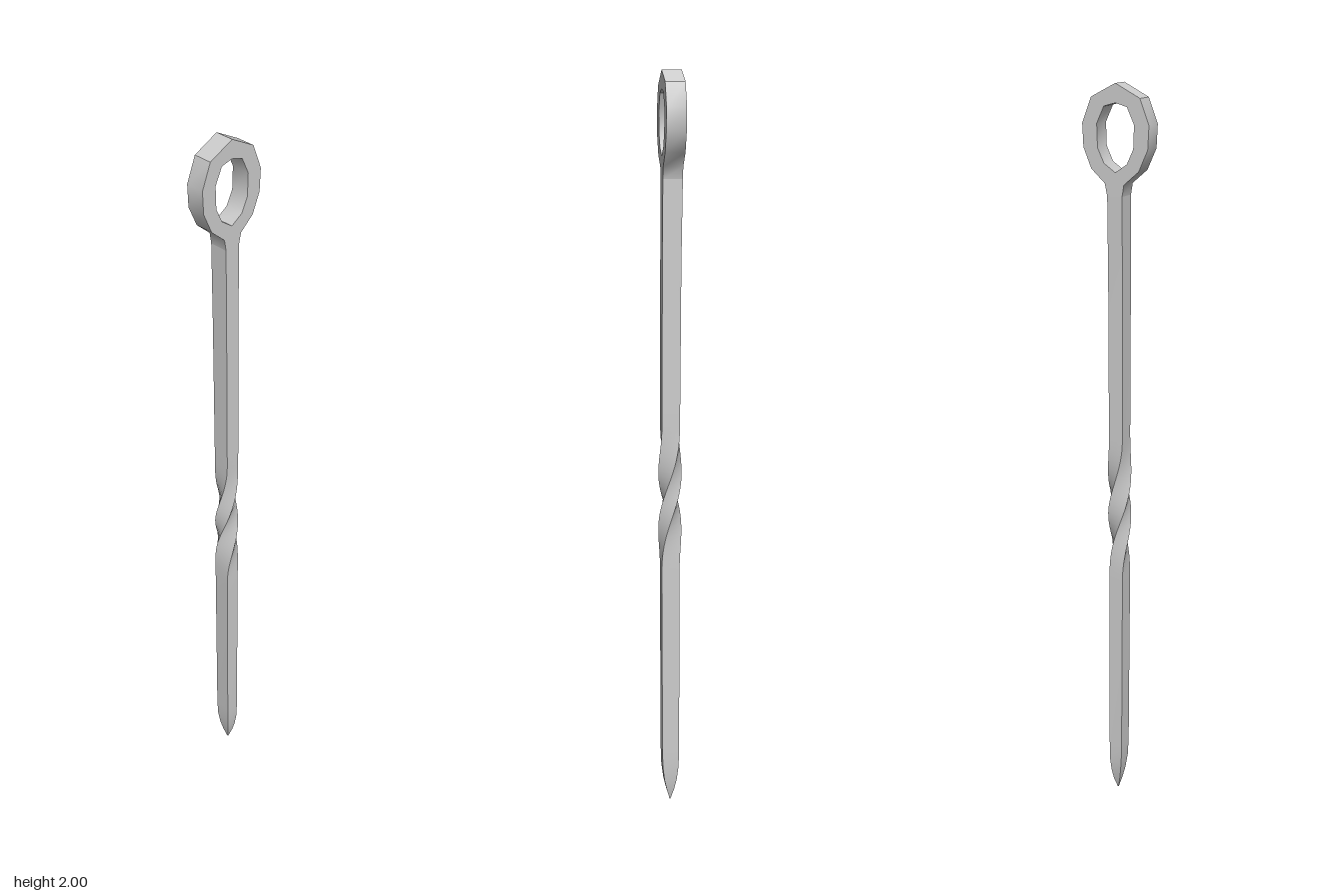
import * as THREE from 'three';
import { toCreasedNormals } from 'three/addons/utils/BufferGeometryUtils.js';

const material = new THREE.MeshStandardMaterial({ color: 0xcccccc, side: THREE.DoubleSide });

// Cross-sections of the rod: y, centre x, centre z, half width, half depth
const SECTIONS = [
  [0, 0.008, 0, 0.001, 0.001],
  [0.03, 0.008, 0, 0.009, 0.010],
  [0.06, 0.007, 0, 0.014, 0.017],
  [0.1, 0.006, 0, 0.018, 0.022],
  [0.15, 0.005, 0, 0.019, 0.0235],
  [0.66, 0.003, 0, 0.02, 0.0245],
  [1.1, 0.003, -0.001, 0.02, 0.0245],
  [1.5, 0.002, -0.003, 0.0205, 0.0255],
  [1.72, 0.002, -0.0055, 0.021, 0.0265],
];
const TWIST_FROM = 0.67, TWIST_TO = 1.07, TWIST_STEPS = 28;

function sectionAt(y) {
  const i = Math.max(1, SECTIONS.findIndex((s) => s[0] >= y));
  const a = SECTIONS[i - 1], b = SECTIONS[i];
  const t = (y - a[0]) / (b[0] - a[0]);
  return a.map((v, k) => v + (b[k] - v) * t);
}

// Four-sided rod with a half turn of right-handed twist in the middle
function rodGeometry() {
  const levels = SECTIONS.map((s) => s[0]);
  for (let i = 0; i <= TWIST_STEPS; i++) {
    levels.push(TWIST_FROM + ((TWIST_TO - TWIST_FROM) * i) / TWIST_STEPS);
  }
  levels.sort((a, b) => a - b);

  const corners = [[-1, 1], [1, 1], [1, -1], [-1, -1]];
  const positions = [], index = [];
  levels.forEach((level, i) => {
    const [y, cx, cz, hw, hd] = sectionAt(level);
    const angle = Math.PI * THREE.MathUtils.smoothstep(y, TWIST_FROM, TWIST_TO);
    const c = Math.cos(angle), s = Math.sin(angle);
    corners.forEach(([sx, sz], j) => {
      const x = sx * hw, z = sz * hd;
      positions.push(cx + x * c + z * s, y, cz - x * s + z * c);
      if (i === levels.length - 1) return;
      const a = i * 4 + j, b = i * 4 + ((j + 1) % 4);
      index.push(a, b, b + 4, a, b + 4, a + 4);
    });
  });
  const geometry = new THREE.BufferGeometry();
  geometry.setAttribute('position', new THREE.Float32BufferAttribute(positions, 3));
  geometry.setIndex(index);
  return toCreasedNormals(geometry, 0.7);
}

// Faceted oval eye whose lower end narrows into the rod
function eyeGeometry() {
  const points = (list) => list.map(([x, y]) => new THREE.Vector2(x, y));
  const shape = new THREE.Shape(points([
    [0.023, 1.72], [0.03, 1.752], [0.068, 1.787], [0.09, 1.84], [0.093, 1.9], [0.068, 1.965],
    [0, 2],
    [-0.068, 1.965], [-0.093, 1.9], [-0.09, 1.84], [-0.065, 1.785], [-0.024, 1.75], [-0.019, 1.72],
  ]));
  shape.holes.push(new THREE.Path(points([
    [0, 1.78], [-0.032, 1.802], [-0.05, 1.84], [-0.052, 1.9], [-0.032, 1.943],
    [0, 1.952],
    [0.032, 1.943], [0.052, 1.9], [0.05, 1.84], [0.032, 1.802],
  ])));
  const geometry = new THREE.ExtrudeGeometry(shape, { depth: 0.053, bevelEnabled: false });
  geometry.translate(0, 0, -0.032);
  return toCreasedNormals(geometry, 0.7);
}

export function createModel() {
  const group = new THREE.Group();
  group.name = 'skewer';
  const add = (name, geometry) => {
    const mesh = new THREE.Mesh(geometry, material);
    mesh.name = name;
    group.add(mesh);
  };
  add('twistedRod', rodGeometry());
  add('eyeLoop', eyeGeometry());
  return group;
}
